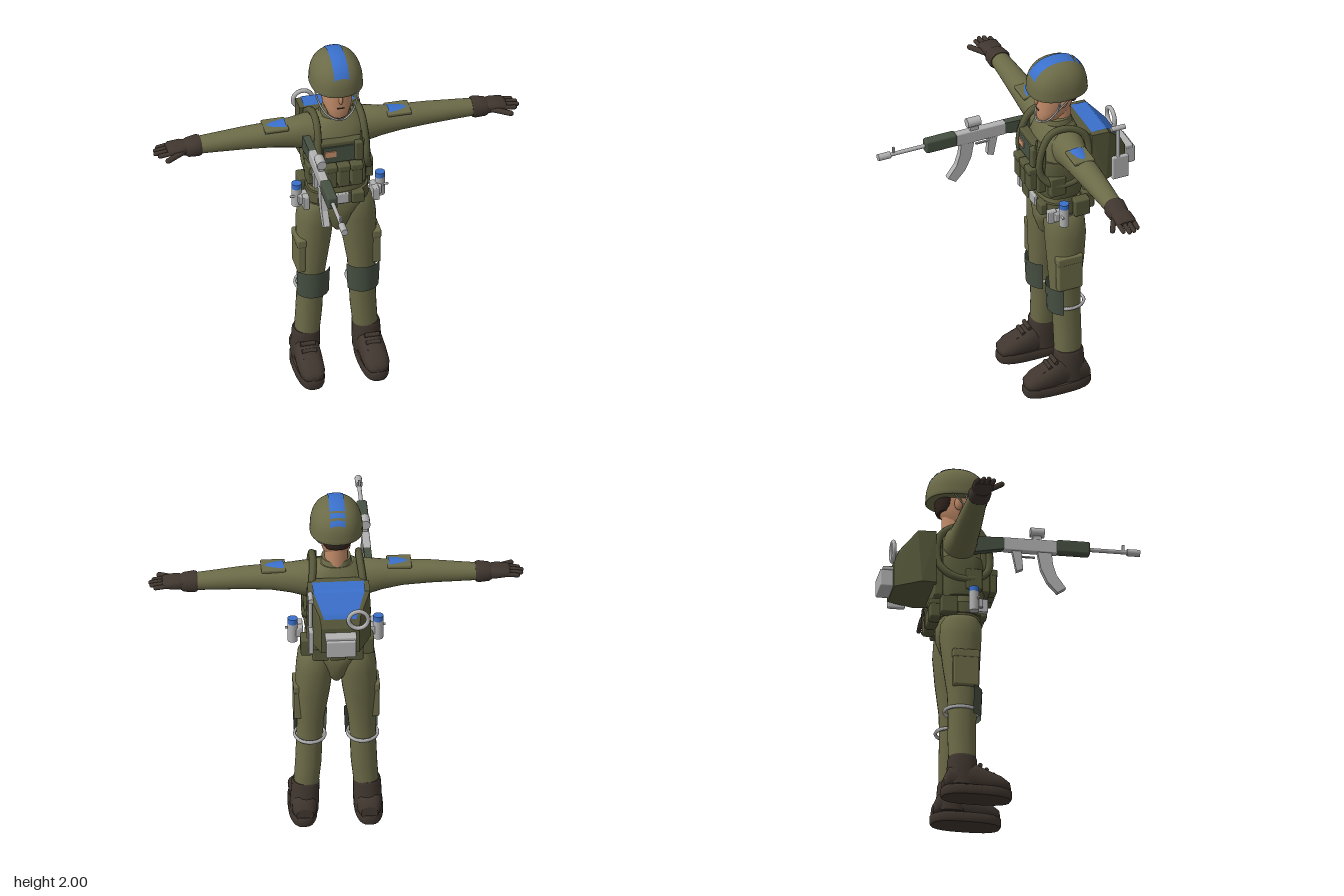
import * as THREE from 'three';
import { RoundedBoxGeometry } from 'three/addons/geometries/RoundedBoxGeometry.js';
import { ConvexGeometry } from 'three/addons/geometries/ConvexGeometry.js';

const mat = (name, color, side = THREE.FrontSide) => {
  const m = new THREE.MeshStandardMaterial({ color, side });
  m.name = name;
  return m;
};
const V = (p) => new THREE.Vector3(...p);
const spow = (v, e) => Math.sign(v) * Math.abs(v) ** e;

// Skin over superellipse sections. Rows: y axis [y,cx,cz,rx,rz], x axis [x,cz,cy,rz,ry], z axis [z,cy,cx,ry,rx]
function loft(rows, axis = 'y', n = 2.3, seg = 24) {
  const pos = [], idx = [];
  const put = (a, t, b) => pos.push(...(axis === 'y' ? [a, t, b] : axis === 'x' ? [t, b, a] : [b, a, t]));
  const ring = ([t, a, b, ra, rb]) => {
    for (let j = 0; j < seg; j++) {
      const w = (j / seg) * Math.PI * 2;
      put(a + ra * spow(Math.cos(w), 2 / n), t, b + rb * spow(Math.sin(w), 2 / n));
    }
  };
  rows.forEach(ring);
  for (let i = 0; i < rows.length - 1; i++) for (let j = 0; j < seg; j++) {
    const a = i * seg + j, b = i * seg + (j + 1) % seg;
    idx.push(a, a + seg, b, b, a + seg, b + seg);
  }
  [rows[0], rows[rows.length - 1]].forEach((r, end) => {
    const s = pos.length / 3;
    ring(r);
    put(r[1], r[0], r[2]);
    for (let j = 0; j < seg; j++) {
      const k = s + (j + 1) % seg;
      idx.push(s + seg, end ? k : s + j, end ? s + j : k);
    }
  });
  const g = new THREE.BufferGeometry();
  g.setAttribute('position', new THREE.Float32BufferAttribute(pos, 3));
  g.setIndex(idx);
  g.computeVertexNormals();
  return g;
}

// Thin surface laid over a height rule y = f(x, z), with half width w(z)
function patch(cx, w, z0, z1, f, nz = 19) {
  const g = new THREE.PlaneGeometry(2, z1 - z0, 8, nz).rotateX(-Math.PI / 2).translate(0, 0, (z0 + z1) / 2);
  const p = g.attributes.position;
  for (let i = 0; i < p.count; i++) {
    const z = p.getZ(i), x = cx + p.getX(i) * w(z);
    p.setXYZ(i, x, f(x, z), z);
  }
  g.computeVertexNormals();
  return g;
}

const box = (w, h, d, r = 0.01) => new RoundedBoxGeometry(w, h, d, 2, Math.min(r, w / 3, h / 3, d / 3));
const cyl = (r, h, n = 16, r2 = r) => new THREE.CylinderGeometry(r2, r, h, n);
const tube = (pts, r, closed = false, n = 32) =>
  new THREE.TubeGeometry(new THREE.CatmullRomCurve3(pts.map(V), closed), n, r, 8, closed);
function between(g, a, b) {
  const d = V(b).sub(V(a)).normalize(), m = V(a).add(V(b)).multiplyScalar(0.5);
  return g.applyQuaternion(new THREE.Quaternion().setFromUnitVectors(V([0, 1, 0]), d)).translate(m.x, m.y, m.z);
}
const capsule = (a, b, r) => between(new THREE.CapsuleGeometry(r, V(a).distanceTo(V(b)), 4, 10), a, b);
const rod = (a, b, r) => between(cyl(r, V(a).distanceTo(V(b)), 12), a, b);
// Flat plate from a (z, y) outline, centred on x
const plate = (pts, depth, x) => new THREE.ExtrudeGeometry(new THREE.Shape(pts.map((p) => new THREE.Vector2(...p))),
  { depth, bevelEnabled: false }).rotateY(-Math.PI / 2).translate(x + depth / 2, 0, 0);

function mirrored(g) {
  const c = g.clone().scale(-1, 1, 1);
  const id = c.index ? Array.from(c.index.array) : [...Array(c.attributes.position.count).keys()];
  for (let i = 0; i < id.length; i += 3) [id[i], id[i + 1]] = [id[i + 1], id[i]];
  c.setIndex(id);
  return c;
}

export function createModel() {
  const root = new THREE.Group();
  const olive = mat('olive cloth', 0x6c6b48), vest = mat('dark olive gear', 0x57583a);
  const blue = mat('blue', 0x3a70cc, THREE.DoubleSide), metal = mat('grey metal', 0xb2b2b2);
  const skin = mat('skin', 0xc48d6a), brown = mat('dark brown leather', 0x40362f);
  const pad = mat('dark green', 0x465042, THREE.DoubleSide), dark = mat('hair', 0x33261f);
  const add = (name, g, m, p = [0, 0, 0]) => {
    const mesh = new THREE.Mesh(g.translate(...p), m);
    mesh.name = name;
    root.add(mesh);
    return mesh;
  };
  const pair = (name, g, m, p) => {
    const a = add(name + 'Left', g, m, p);
    add(name + 'Right', mirrored(a.geometry), m);
  };

  // Torso and pelvis
  add('torso', loft([[1.07, 0, -.26, .16, .11], [1.2, 0, -.25, .155, .105], [1.35, 0, -.255, .165, .125],
    [1.5, 0, -.26, .17, .125], [1.57, 0, -.265, .15, .1], [1.61, 0, -.27, .09, .08]]), olive);
  add('collar', loft([[1.56, 0, -.27, .09, .085], [1.64, 0, -.265, .077, .077]]), olive);
  add('pelvis', loft([[.88, 0, -.26, .025, .06], [.92, 0, -.26, .055, .095], [1, 0, -.26, .09, .122],
    [1.06, 0, -.26, .16, .122], [1.1, 0, -.255, .165, .112]]), olive);

  // Legs
  pair('leg', loft([[.18, .162, -.262, .066, .072], [.35, .148, -.263, .07, .075], [.5, .142, -.26, .07, .076],
    [.63, .136, -.255, .074, .084], [.8, .126, -.262, .092, .1], [.95, .115, -.265, .1, .112],
    [1.04, .11, -.262, .094, .11], [1.08, .1, -.26, .07, .09]], 'y', 2.2), olive);
  pair('cargoPocket', box(.045, .19, .14), olive, [.205, .74, -.25]);
  pair('cargoFlap', box(.052, .05, .148), olive, [.204, .83, -.25]);
  pair('kneePad', new THREE.CylinderGeometry(.1, .093, .16, 6, 1, true, -1.15, 2.3), pad, [.136, .565, -.25]);
  pair('kneeStrap', new THREE.TorusGeometry(.086, .008, 6, 32).rotateX(Math.PI / 2).scale(.95, 1.3, 1.07), metal, [.14, .52, -.265]);

  // Boots
  pair('sole', loft([[0, .175, -.19, .07, .185], [.015, .175, -.19, .077, .193], [.045, .175, -.19, .077, .193],
    [.055, .175, -.19, .07, .187]], 'y', 2.7), brown);
  pair('bootFoot', loft([[-.37, .07, .172, .035, .045], [-.34, .1, .172, .07, .066], [-.2, .11, .172, .09, .07],
    [-.14, .095, .174, .073, .071], [-.06, .08, .176, .053, .068], [-.015, .07, .176, .03, .05], [-.006, .065, .176, .01, .02]], 'z'), brown);
  pair('bootShaft', loft([[.06, .168, -.27, .074, .09], [.15, .166, -.265, .076, .083], [.225, .163, -.263, .074, .079],
    [.24, .163, -.263, .067, .073]]), brown);
  for (let i = 0; i < 3; i++)
    pair('lace' + i, rod([.135, .135 + i * .025, -.105 - i * .034], [.215, .135 + i * .025, -.105 - i * .034], .012), brown);

  // Arms, gloves and shoulder patches
  pair('arm', loft([[.08, -.27, 1.51, .09, .08], [.16, -.27, 1.505, .088, .1], [.24, -.265, 1.51, .076, .083],
    [.35, -.262, 1.516, .071, .068], [.5, -.264, 1.517, .063, .06], [.65, -.268, 1.512, .055, .051],
    [.76, -.27, 1.508, .049, .045]], 'x', 2.1), olive);
  pair('gloveCuff', loft([[.74, -.27, 1.508, .054, .05], [.755, -.27, 1.508, .06, .055], [.81, -.268, 1.505, .056, .048],
    [.83, -.268, 1.505, .045, .036]], 'x'), brown);
  pair('palm', loft([[.81, -.268, 1.507, .045, .036], [.85, -.268, 1.51, .056, .034], [.91, -.268, 1.51, .056, .024],
    [.925, -.268, 1.508, .045, .014]], 'x', 2.6), brown);
  [.965, .984, .988, .97].forEach((x, i) => {
    const z = -.312 + i * .029;
    pair('finger' + i, capsule([.89, 1.51, z], [x - .002, 1.499, z * .95 - .013], .0125), brown);
  });
  pair('thumb', capsule([.845, 1.505, -.225], [.935, 1.497, -.178], .015), brown);
  pair('shoulderPatchBase', box(.13, .02, .115, .006), olive, [.335, 1.575, -.255]);
  pair('shoulderPatch', patch(.34, () => .06, -.31, -.2,
    (x, z) => 1.51 - (x - .28) * .1 + Math.sqrt(.085 ** 2 - (z + .255) ** 2), 10), blue);

  // Head
  add('neck', cyl(.062, .16), skin, [0, 1.65, -.285]);
  add('face', loft([[1.625, 0, -.205, .03, .035], [1.64, 0, -.22, .055, .064], [1.69, 0, -.245, .076, .09],
    [1.75, 0, -.258, .084, .104], [1.85, 0, -.262, .087, .107]]), skin);
  add('nose', new THREE.SphereGeometry(.014, 12, 8).scale(.8, 2, 1), skin, [0, 1.757, -.15]);
  add('mouth', box(.04, .006, .006), dark, [0, 1.7, -.155]);
  pair('eye', new THREE.SphereGeometry(.011, 12, 8).scale(1, 1.2, .5), dark, [.036, 1.797, -.163]);
  pair('brow', box(.038, .012, .012), dark, [.05, 1.822, -.165]);
  pair('ear', new THREE.SphereGeometry(.03, 14, 10).scale(.4, 1.2, .75), skin, [.089, 1.765, -.27]);
  add('hairBack', loft([[1.735, 0, -.335, .06, .035], [1.76, 0, -.332, .077, .048], [1.84, 0, -.325, .084, .062]]), dark);

  // Helmet as a superellipsoid, with blue bands
  const n = 2.3, base = 1.825, hh = .167;
  const dome = [...Array(13).keys()].map((i) => {
    const a = (i / 12) * Math.PI / 2, c = Math.max(Math.cos(a), .01) ** (2 / n);
    return [base + hh * Math.sin(a) ** (2 / n), 0, -.268, .14 * c, .163 * c];
  });
  add('helmet', loft([[1.803, 0, -.268, .137, .16], [1.808, 0, -.268, .142, .165], ...dome], 'y', n, 36), olive);
  const top = (x, z) => base + .004 + hh * Math.max(0, 1 - Math.abs(x / .14) ** n - Math.abs((z + .268) / .163) ** n) ** (1 / n);
  [[-.358, -.121], [-.39, -.368], [-.415, -.399]].forEach(([a, b], i) => add('helmetBand' + i, patch(0, () => .041, a, b, top, 24), blue));
  const half = [[.125, 1.81, -.235], [.11, 1.73, -.22], [.068, 1.655, -.175]];
  add('chinStrap', tube([...half, [0, 1.628, -.15], ...half.map(([x, y, z]) => [-x, y, z]).reverse()], .005), metal);
  pair('rearStrap', rod([.125, 1.81, -.3], [.107, 1.72, -.215], .004), metal);

  // Vest
  add('vestBody', loft([[1.2, 0, -.255, .168, .118], [1.24, 0, -.255, .173, .13], [1.38, 0, -.258, .174, .138],
    [1.43, 0, -.26, .165, .134]], 'y', 2.8), vest);
  add('chestPlate', box(.25, .28, .05), vest, [0, 1.38, -.13]);
  add('backPlate', box(.28, .36, .05), vest, [0, 1.38, -.385]);
  for (let i = -1; i < 2; i++) {
    add('magazinePouch', box(.064, .13, .05), vest, [i * .07, 1.315, -.09]);
    add('magazineFlap', box(.068, .04, .056), vest, [i * .07, 1.37, -.088]);
  }
  add('chestPanel', box(.19, .1, .014, .004), pad, [-.015, 1.445, -.103]);
  add('chestTag', box(.065, .036, .008, .002), skin, [-.07, 1.453, -.094]);
  add('radio', box(.045, .12, .035), vest, [.085, 1.46, -.095]);
  add('radioAerial', rod([.1, 1.5, -.1], [.1, 1.57, -.11], .006), vest);
  pair('sidePouch', box(.05, .12, .09), vest, [.155, 1.29, -.2]);
  pair('shoulderStrap', tube([[.135, 1.37, -.115], [.13, 1.5, -.12], [.125, 1.605, -.18], [.125, 1.615, -.28],
    [.135, 1.55, -.375], [.15, 1.38, -.385], [.165, 1.3, -.3], [.16, 1.3, -.18]], .02, true, 40), vest);

  // Belt and belt gear
  add('belt', loft([[1.095, 0, -.255, .172, .123], [1.16, 0, -.255, .168, .12]], 'y', 2.5), vest);
  add('buckle', box(.08, .062, .016, .005), metal, [0, 1.132, -.131]);
  pair('frontPouch', box(.07, .07, .04), vest, [.09, 1.128, -.14]);
  pair('hipPouch', box(.06, .1, .09), vest, [.165, 1.13, -.335]);
  for (let i = -1; i < 2; i++) {
    add('rearPouch', box(.085, .1, .06), vest, [i * .093, 1.125, -.4]);
    add('rearFlap', box(.09, .035, .066), vest, [i * .093, 1.165, -.4]);
  }
  pair('canister', cyl(.027, .11), metal, [.228, 1.132, -.21]);
  pair('canisterCap', cyl(.027, .03), blue, [.228, 1.2, -.21]);
  pair('canisterBracket', box(.055, .05, .07, .005), metal, [.2, 1.13, -.195]);
  pair('toolCase', box(.035, .075, .05, .005), metal, [.19, 1.125, -.155]);
  pair('canisterPin', rod([.23, 1.145, -.19], [.268, 1.145, -.19], .006), metal);

  // Backpack with blue cover
  const corners = [[.165, 1.26, -.4], [.165, 1.56, -.4], [.172, 1.26, -.48], [.165, 1.556, -.5],
    [.1, 1.25, -.62], [.1, 1.4, -.62], [.11, 1.46, -.59]];
  add('backpack', new ConvexGeometry(corners.flatMap(([x, y, z]) => [V([x, y, z]), V([-x, y, z])])), vest);
  add('backpackCover', patch(0, (z) => (z > -.5 ? .138 : .138 - (-.5 - z) * .5), -.6, -.41,
    (x, z) => .006 + (z > -.5 ? 1.557 : z > -.59 ? 1.556 + (z + .5) * 1.067 : 1.46 + (z + .59) * 2)), blue);
  add('rearCase', box(.16, .1, .075, .008), metal, [0, 1.31, -.652]);
  add('rearCaseLid', box(.168, .022, .06, .006), metal, [0, 1.365, -.645]);
  add('ring', new THREE.TorusGeometry(.052, .012, 8, 28), metal, [-.095, 1.455, -.625]);
  add('shovelBlade', box(.025, .14, .095, .008), metal, [.155, 1.31, -.567]);
  add('shovelShaft', rod([.155, 1.36, -.555], [.155, 1.56, -.555], .011), metal);
  add('shovelHandle', rod([.155, 1.56, -.515], [.155, 1.56, -.595], .014), metal);

  // Rifle
  const gx = -.18;
  add('rifleMuzzle', rod([gx, 1.505, .62], [gx, 1.505, .69], .019), metal);
  add('rifleBarrel', rod([gx, 1.505, .2], [gx, 1.505, .64], .011), metal);
  add('frontSight', box(.012, .045, .014, .003), metal, [gx, 1.525, .6]);
  add('handguard', box(.056, .075, .18, .012), pad, [gx, 1.505, .33]);
  add('receiver', box(.042, .075, .29, .008), metal, [gx, 1.5, .1]);
  add('scopeMount', box(.03, .03, .05, .004), metal, [gx, 1.545, .135]);
  add('scope', rod([gx, 1.583, .1], [gx, 1.583, .175], .027), metal);
  add('magazine', plate([[.137, 1.47], [.213, 1.47], [.22, 1.4], [.24, 1.335], [.29, 1.265], [.245, 1.235],
    [.19, 1.295], [.155, 1.37]], .034, gx), metal);
  add('pistolGrip', plate([[0, 1.47], [.05, 1.47], [.06, 1.36], [.025, 1.345]], .03, gx), metal);
  add('triggerGuard', box(.012, .01, .09, .003), metal, [gx, 1.437, .08]);
  add('stock', plate([[-.04, 1.535], [-.04, 1.47], [-.2, 1.44], [-.2, 1.53]], .04, gx), pad);
  return root;
}
